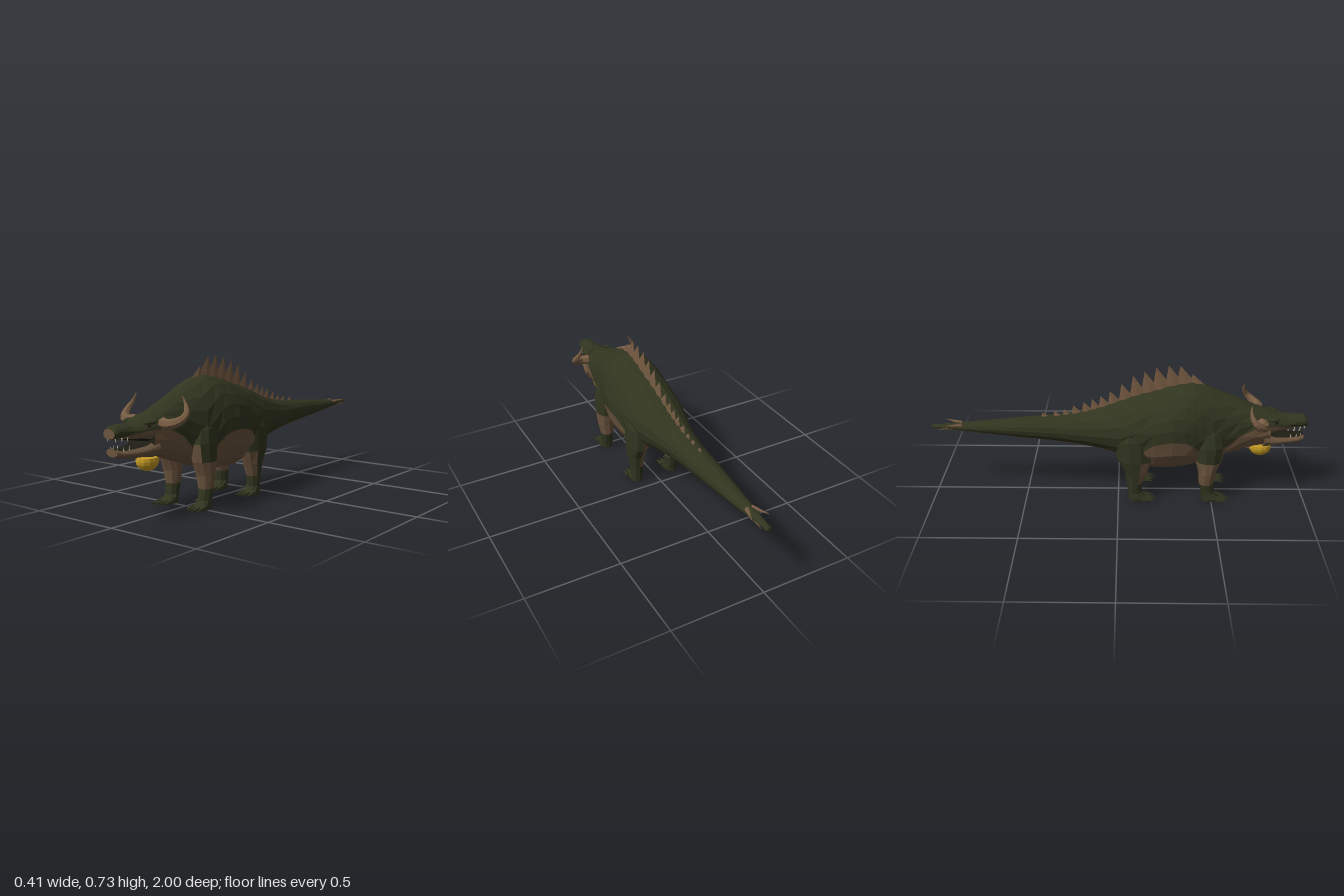
import * as THREE from 'three';

const mat = (name, color) => Object.assign(new THREE.MeshStandardMaterial({ color }), { name });
const V = (x, y, z) => new THREE.Vector3(x, y, z);

// Skins closed rings into a faceted geometry; pick(i, j) gives the material index of each quad
function loft(rings, pick, startCap = 0, endCap = 0) {
  const buckets = [[], [], []];
  const tri = (m, ...pts) => pts.forEach(p => buckets[m].push(p.x, p.y, p.z));
  const n = rings[0].length;
  for (let i = 0; i < rings.length - 1; i++) {
    for (let j = 0; j < n; j++) {
      const k = (j + 1) % n, m = pick(i, j);
      const a = rings[i][j], b = rings[i][k], c = rings[i + 1][j], d = rings[i + 1][k];
      if ((i + j) % 2) { tri(m, a, b, c); tri(m, b, d, c); }
      else { tri(m, a, b, d); tri(m, a, d, c); }
    }
  }
  const cap = (ring, m, first) => {
    const mid = ring.reduce((s, p) => s.add(p), V(0, 0, 0)).divideScalar(n);
    ring.forEach((p, j) => {
      const q = ring[(j + 1) % n];
      if (first) tri(m, mid, q, p); else tri(m, mid, p, q);
    });
  };
  cap(rings[0], startCap, true);
  cap(rings[rings.length - 1], endCap, false);
  const geo = new THREE.BufferGeometry();
  let start = 0;
  buckets.forEach((b, m) => {
    if (b.length) geo.addGroup(start, b.length / 3, m);
    start += b.length / 3;
  });
  geo.setAttribute('position', new THREE.Float32BufferAttribute(buckets.flat(), 3));
  geo.computeVertexNormals();
  return geo;
}

// Oval section across z, with points placed exactly on the colour line at height `line`
const UP = 6, LOW = 4, AROUND = 2 * (UP + LOW);
function section([z, top, bot, w, line]) {
  const mid = (top + bot) / 2, h = (top - bot) / 2;
  const split = Math.acos(THREE.MathUtils.clamp((line - mid) / h, -0.95, 0.95));
  const half = [];
  for (let j = 0; j <= UP + LOW; j++) {
    const t = j <= UP ? split * j / UP : split + (Math.PI - split) * (j - UP) / LOW;
    half.push(V(w * Math.sin(t), mid + h * Math.cos(t), z));
  }
  const other = half.slice(1, -1).reverse().map(p => V(-p.x, p.y, p.z));
  return [...half, ...other];
}
const isBelly = j => (j >= UP && j < UP + 2 * LOW ? 1 : 0);

// Faceted copy of any geometry, and its mirror image across x = 0
function facet(geo) {
  const g = geo.index ? geo.toNonIndexed() : geo;
  g.computeVertexNormals();
  return g;
}
function mirror(geo) {
  const g = geo.clone(), p = g.attributes.position;
  for (let i = 0; i < p.count; i += 3) {
    const v = [0, 2, 1].map(k => V(-p.getX(i + k), p.getY(i + k), p.getZ(i + k)));
    v.forEach((q, k) => p.setXYZ(i + k, q.x, q.y, q.z));
  }
  g.computeVertexNormals();
  return g;
}
// Pointed cone from a base to a tip
function spike(base, tip, r, sides = 5) {
  const dir = tip.clone().sub(base), len = dir.length();
  const g = new THREE.ConeGeometry(r, len, sides);
  g.translate(0, len / 2, 0);
  g.applyQuaternion(new THREE.Quaternion().setFromUnitVectors(V(0, 1, 0), dir.normalize()));
  return facet(g.translate(base.x, base.y, base.z));
}

export function createModel() {
  const root = new THREE.Group();
  root.name = 'hornedReptile';
  const green = mat('darkGreenHide', 0x31351f), brown = mat('brownHide', 0x6a533d);
  const horn = mat('hornBrown', 0x755a42), yellow = mat('yellowPouch', 0xc59a24);
  const ivory = mat('ivoryTeeth', 0xc9bfa4), dark = mat('darkMouth', 0x1f1e15);
  const skin = [green, brown, dark];
  const add = (name, geo, m) => {
    const mesh = new THREE.Mesh(geo, m);
    mesh.name = name;
    root.add(mesh);
  };
  const pair = (name, geo, m) => {
    add('left' + name, geo, m);
    add('right' + name, mirror(geo), m);
  };

  // Trunk, neck and tail: z, top, bottom, half width, colour line
  const trunk = [
    [0.80, 0.49, 0.30, 0.088, 0.43], [0.72, 0.515, 0.288, 0.102, 0.425], [0.63, 0.555, 0.255, 0.112, 0.38],
    [0.56, 0.585, 0.232, 0.123, 0.315], [0.49, 0.615, 0.208, 0.143, 0.26], [0.43, 0.637, 0.188, 0.154, 0.30],
    [0.39, 0.645, 0.175, 0.162, 0.345], [0.35, 0.642, 0.168, 0.17, 0.37], [0.28, 0.628, 0.16, 0.178, 0.378],
    [0.19, 0.60, 0.16, 0.172, 0.36], [0.10, 0.575, 0.18, 0.16, 0.29], [0.01, 0.54, 0.235, 0.145, 0.275],
    [-0.09, 0.502, 0.268, 0.118, 0.295], [-0.20, 0.47, 0.288, 0.09, 0.31], [-0.32, 0.45, 0.303, 0.072, 0.325],
    [-0.50, 0.437, 0.322, 0.06, 0.34], [-0.68, 0.418, 0.342, 0.046, 0.355], [-0.84, 0.402, 0.358, 0.03, 0.37],
    [-0.93, 0.396, 0.366, 0.02, 0.377], [-1.0, 0.39, 0.37, 0.014, 0.377]];
  add('bodyAndTail', loft(trunk.map(section), (i, j) => isBelly(j), 2, 0), skin);

  // Upper jaw with a brown nose plate, and lower jaw; both dark inside the mouth
  const upper = [
    [1.0, 0.45, 0.403, 0.036, 0.41], [0.985, 0.463, 0.40, 0.043, 0.408], [0.94, 0.466, 0.395, 0.05, 0.412],
    [0.89, 0.463, 0.386, 0.064, 0.42], [0.84, 0.475, 0.378, 0.08, 0.428], [0.78, 0.497, 0.36, 0.093, 0.43]];
  const palate = j => j >= UP + 2 && j < UP + 2 * LOW - 2;
  add('upperJaw', loft(upper.map(section), (i, j) => (palate(j) ? 2 : isBelly(j)), 1, 0), skin);
  const lower = [
    [0.985, 0.36, 0.322, 0.036, 0.345], [0.95, 0.354, 0.31, 0.048, 0.33], [0.89, 0.357, 0.304, 0.062, 0.33],
    [0.83, 0.368, 0.30, 0.08, 0.33], [0.77, 0.395, 0.29, 0.094, 0.34]];
  const tongueSide = j => j < 3 || j >= AROUND - 3;
  add('lowerJaw', loft(lower.map(section), (i, j) => (tongueSide(j) ? 2 : 1), 1, 1), skin);

  // Teeth along both jaws
  [[0.985, 0.025], [0.96, 0.039], [0.93, 0.044]].forEach(([z, x], i) => {
    pair('UpperTooth' + (i + 1), spike(V(x, 0.408, z), V(x, 0.386, z), 0.005, 4), ivory);
    pair('LowerTooth' + (i + 1), spike(V(x * 0.85, 0.342, z - 0.015), V(x * 0.85, 0.368, z - 0.015), 0.005, 4), ivory);
  });

  // Eyes under brow ridges
  pair('Eye', facet(new THREE.IcosahedronGeometry(0.011, 1).translate(0.073, 0.45, 0.825)), dark);
  const brow = new THREE.IcosahedronGeometry(1, 1).scale(0.02, 0.011, 0.04).rotateY(-0.2);
  pair('Brow', facet(brow.translate(0.066, 0.463, 0.81)), green);

  // Curved horns: tube tapered toward the tip
  const path = new THREE.CatmullRomCurve3([
    V(0.085, 0.455, 0.745), V(0.128, 0.452, 0.758), V(0.172, 0.465, 0.735),
    V(0.187, 0.495, 0.70), V(0.168, 0.535, 0.68), V(0.145, 0.578, 0.68)]);
  const segs = 12, sides = 7;
  const hornGeo = new THREE.TubeGeometry(path, segs, 1, sides);
  const hp = hornGeo.attributes.position;
  for (let i = 0; i < hp.count; i++) {
    const u = Math.floor(i / (sides + 1)) / segs, c = path.getPointAt(u);
    const p = V(0, 0, 0).fromBufferAttribute(hp, i).sub(c).multiplyScalar(0.001 + 0.026 * (1 - u ** 1.8)).add(c);
    hp.setXYZ(i, p.x, p.y, p.z);
  }
  pair('Horn', facet(hornGeo), horn);

  // Rounded throat pouch, flat on top
  const pouch = new THREE.SphereGeometry(1, 12, 6, 0, Math.PI * 2, Math.PI * 0.42, Math.PI * 0.58);
  add('throatPouch', facet(pouch.scale(0.051, 0.052, 0.061).translate(0, 0.276, 0.763)), yellow);
  add('pouchTop', facet(new THREE.CylinderGeometry(0.85, 1, 1, 12).scale(0.048, 0.006, 0.058).translate(0, 0.285, 0.763)), yellow);

  // Back spines: tip z, tip height, base length
  const backAt = z => {
    const i = Math.max(1, trunk.findIndex(s => s[0] <= z)), a = trunk[i - 1], b = trunk[i];
    return THREE.MathUtils.mapLinear(z, a[0], b[0], a[1], b[1]);
  };
  [[0.385, 0.69, 0.1], [0.32, 0.737, 0.11], [0.26, 0.738, 0.105], [0.195, 0.727, 0.105], [0.135, 0.705, 0.1],
    [0.075, 0.68, 0.09], [0.015, 0.635, 0.08], [-0.045, 0.592, 0.07], [-0.095, 0.565, 0.065], [-0.14, 0.547, 0.06],
    [-0.185, 0.53, 0.06], [-0.24, 0.508, 0.06], [-0.29, 0.487, 0.05], [-0.34, 0.476, 0.05], [-0.405, 0.465, 0.05],
  ].forEach(([z, y, len], i) => {
    const front = V(0, backAt(z + len * 0.8) - 0.008, z + len * 0.8);
    const back = V(0, backAt(z - len * 0.2) - 0.012, z - len * 0.2);
    const mid = front.clone().lerp(back, 0.5), t = 0.005 + len * 0.06;
    const ring = [front, V(-t, mid.y, mid.z), back, V(t, mid.y, mid.z)];
    const tip = ring.map(p => p.clone().lerp(V(0, y, z), 0.98));
    add('backSpine' + (i + 1), loft([tip, ring], () => 0), [horn]);
  });

  // Spikes near the tail tip
  pair('TailSpike', spike(V(0.014, 0.393, -0.84), V(0.05, 0.402, -0.935), 0.012), horn);
  pair('LowerTailSpike', spike(V(0.012, 0.375, -0.85), V(0.022, 0.372, -0.97), 0.012), horn);

  // Legs: height, centre x, centre z, radius x, radius z
  const N = 10;
  const fore = [
    [0.46, 0.08, 0.47, 0.04, 0.04], [0.40, 0.097, 0.478, 0.055, 0.068], [0.33, 0.105, 0.485, 0.058, 0.078],
    [0.24, 0.108, 0.482, 0.053, 0.068], [0.17, 0.108, 0.475, 0.05, 0.047], [0.105, 0.108, 0.472, 0.038, 0.04],
    [0.05, 0.108, 0.482, 0.034, 0.037], [0.02, 0.108, 0.5, 0.04, 0.05], [0.004, 0.108, 0.5, 0.037, 0.05]];
  const hind = [
    [0.46, 0.08, 0.07, 0.05, 0.06], [0.36, 0.103, 0.085, 0.058, 0.105], [0.24, 0.108, 0.09, 0.053, 0.092],
    [0.17, 0.108, 0.095, 0.047, 0.06], [0.105, 0.108, 0.088, 0.038, 0.042], [0.05, 0.108, 0.09, 0.034, 0.038],
    [0.02, 0.108, 0.105, 0.04, 0.05], [0.004, 0.108, 0.105, 0.037, 0.05]];
  const leg = (name, rows, isFore) => {
    const rings = rows.map(([y, cx, cz, rx, rz]) => Array.from({ length: N }, (_, j) => {
      const t = j / N * Math.PI * 2;
      return V(cx - rx * Math.sin(t), y, cz + rz * Math.cos(t));
    }));
    // Green shoulder and foot, brown inner side and shin
    const pick = (i, j) => {
      const y = (rows[i][0] + rows[i + 1][0]) / 2;
      if (y < 0.1) return 0;
      if (j < N / 2) return 1;
      if (y > 0.25) return isFore && y < 0.36 && j === N - 1 ? 1 : 0;
      return isFore || j >= N - 2 ? 1 : 0;
    };
    pair(name + 'Leg', loft(rings, pick), skin);
    const [, cx, cz] = rows[rows.length - 1];
    for (let k = 0; k < 4; k++) {
      const dx = (k - 1.5) * 0.021, reach = 0.11 - Math.abs(k - 1.7) * 0.01;
      pair(name + 'Toe' + (k + 1), spike(V(cx + dx, 0.018, cz + 0.022), V(cx + dx * 1.2, 0.01, cz + reach), 0.015), green);
    }
    pair(name + 'Spur', spike(V(cx - 0.028, 0.045, cz - 0.01), V(cx - 0.053, 0.038, cz + 0.015), 0.01), green);
  };
  leg('Fore', fore, true);
  leg('Hind', hind, false);
  return root;
}
